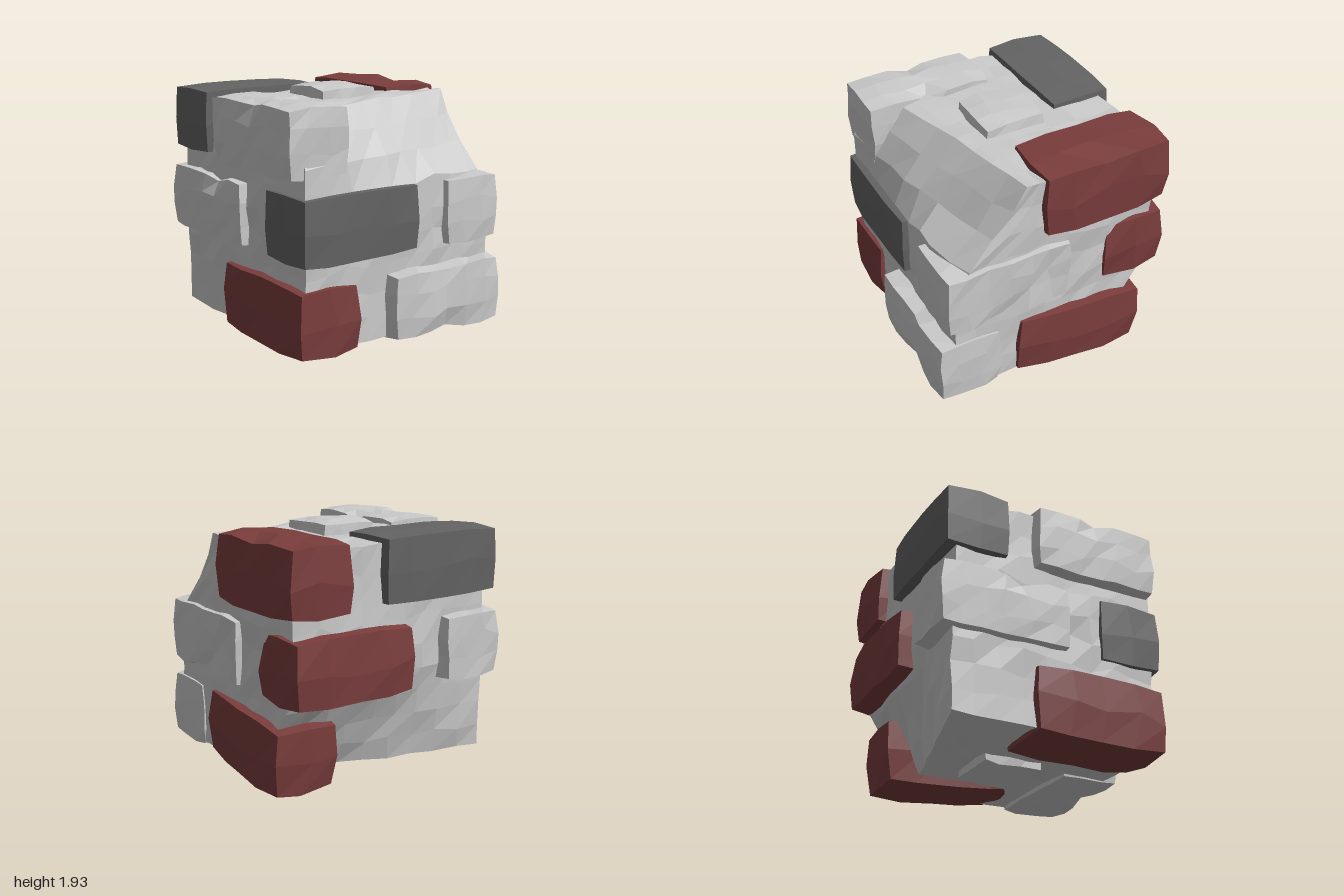
import * as THREE from 'three';

const STONE = 0xcccccc, RED = 0x7b3d3d, DARK = 0x646464;

// Repeatable 0..1 noise from a position, so shared corners move together
function hash(x, y, z, seed) {
  let h = Math.imul(seed + 11, 0x9e3779b1);
  for (const c of [x, y, z]) {
    h = Math.imul(h ^ (Math.round(c * 1000) + 5000), 0x85ebca6b);
    h ^= h >>> 13;
    h = Math.imul(h, 0xc2b2ae35);
    h ^= h >>> 16;
  }
  return (h >>> 0) / 4294967296;
}

function makeMesh(name, geometry, color) {
  const material = new THREE.MeshStandardMaterial({ color, flatShading: true });
  const mesh = new THREE.Mesh(geometry, material);
  mesh.name = name;
  return mesh;
}

// Segmented box whose vertices are moved by rule(vector)
function shapedBox(size, step, rule) {
  const seg = size.map((s) => Math.max(2, Math.round(s / step)));
  const geometry = new THREE.BoxGeometry(...size, ...seg);
  const p = geometry.attributes.position;
  const v = new THREE.Vector3();
  for (let i = 0; i < p.count; i++) {
    v.fromBufferAttribute(p, i);
    rule(v);
    p.setXYZ(i, v.x, v.y, v.z);
  }
  geometry.computeVertexNormals();
  return geometry;
}

// Hewn brick from x, y, z ranges: worn edges, uneven faces, optional chips
function brick({ name, x, y, z, color = STONE, tilt = 0, yaw = 0, chips = [] }, seed) {
  const ranges = [x, y, z];
  const size = ranges.map(([a, b]) => b - a);
  const mid = ranges.map(([a, b]) => (a + b) / 2);
  const rough = color === STONE ? 0.02 : color === RED ? 0.016 : 0.008;
  const edgeWear = color === RED ? 0.014 : 0.008;
  const step = color === STONE ? 0.18 : 0.27;
  const axes = ['x', 'y', 'z'];
  const geometry = shapedBox(size, step, (v) => {
    const o = v.clone();
    const onFace = axes.map((k, i) => Math.abs(Math.abs(o[k]) - size[i] / 2) < 1e-4);
    const count = onFace.filter(Boolean).length;
    axes.forEach((k, i) => {
      const n = hash(o.x, o.y, o.z, seed + i * 50);
      if (onFace[i]) {
        v[k] -= Math.sign(o[k]) * ([0, 0, edgeWear, edgeWear * 2.5][count] + n * rough);
      } else {
        v[k] += (n - 0.5) * step * 0.4;
      }
    });
    for (const [cx, cy, cz, radius, depth] of chips) {
      const d = Math.hypot(o.x + mid[0] - cx, o.y + mid[1] - cy, o.z + mid[2] - cz);
      if (d < radius) v.multiplyScalar(1 - depth * (1 - d / radius));
    }
  });
  const mesh = makeMesh(name, geometry, color);
  mesh.position.set(...mid);
  mesh.rotation.set(tilt, yaw, 0);
  return mesh;
}

// Boulder-like core with a scooped upper front and a cut lower back corner
function core() {
  const { clamp, lerp } = THREE.MathUtils;
  const half = 0.88;
  const geometry = shapedBox([1.8, 1.78, half * 2], 0.2, (v) => {
    const o = v.clone();
    const across = clamp((o.x + 0.9) / 1.8, 0, 1);
    const height = o.y + 0.98;
    let calm = 1;
    if (o.z > 0) {
      const start = lerp(1.42, 1.22, across);
      const t = clamp((height - start) / (1.87 - start), 0, 1);
      const topZ = lerp(0.66, 0.26, across);
      v.z *= lerp(0.865, topZ, Math.pow(t, lerp(1.4, 0.62, across))) / half;
      if (t > 0) calm = 0.35;
    } else {
      const t = 1 - clamp((height - 0.09) / 0.66, 0, 1);
      v.z *= 1 - 0.52 * across * Math.pow(t, 0.65);
      if (t > 0) calm = 0.5;
    }
    // Uneven hewn surface, calmer on the cut slopes
    const onX = Math.abs(o.x) > 0.895, onY = Math.abs(o.y) > 0.885, onZ = Math.abs(o.z) > half - 0.005;
    const n = (s) => hash(o.x, o.y, o.z, s);
    v.x += onX ? -Math.sign(o.x) * n(1) * 0.03 : (n(1) - 0.5) * 0.08 * calm;
    v.y += onY ? -Math.sign(o.y) * n(2) * 0.025 : (n(2) - 0.5) * 0.08 * calm;
    v.z += onZ ? -Math.sign(o.z) * n(3) * 0.03 : (n(3) - 0.5) * 0.06 * calm;
  });
  const mesh = makeMesh('core', geometry, STONE);
  mesh.position.set(0.015, 0.98, 0);
  return mesh;
}

export function createModel() {
  const group = new THREE.Group();
  group.name = 'brickCube';
  group.add(core());

  const bricks = [
    // Upper course
    { name: 'upperFrontBrick', x: [-1, -0.46], y: [1.37, 1.92], z: [-0.22, 0.85],
      chips: [[-0.46, 1.92, 0.32, 0.2, 0.2], [-0.99, 1.92, 0.3, 0.2, 0.15]] },
    { name: 'upperBackBrick', x: [-0.94, 0.14], y: [1.4, 1.92], z: [-0.96, -0.42], color: DARK },
    { name: 'upperSideBrick', x: [0.42, 0.99], y: [1.36, 1.93], z: [-0.97, 0.14], color: RED,
      chips: [[0.99, 1.92, -0.42, 0.25, 0.12]] },
    // Middle course
    { name: 'middleFrontBrick', x: [-0.92, 0.15], y: [0.74, 1.275], z: [0.36, 0.915], color: DARK },
    { name: 'middleSideBrick', x: [0.41, 0.955], y: [0.72, 1.27], z: [-0.14, 0.93],
      chips: [[0.95, 1.0, 0.08, 0.22, 0.16], [0.95, 0.72, 0.45, 0.2, 0.2]] },
    { name: 'middleBackBrick', x: [-0.14, 0.96], y: [0.71, 1.27], z: [-0.995, -0.42], color: RED,
      chips: [[0.96, 1.27, -0.42, 0.2, 0.07]] },
    { name: 'middleCornerBrick', x: [-0.96, -0.42], y: [0.73, 1.27], z: [-1, 0.09],
      chips: [[-0.95, 1.27, -0.3, 0.2, 0.2]] },
    // Lower course
    { name: 'lowerFrontBrick', x: [-0.14, 0.94], y: [0.06, 0.61], z: [0.45, 1],
      chips: [[0.35, 0.6, 1, 0.25, 0.15], [0.35, 0.07, 1, 0.2, 0.15]] },
    { name: 'lowerSideBrick', x: [0.43, 0.995], y: [0.035, 0.6], z: [-0.8, 0.33], color: RED, tilt: -0.07, yaw: -0.035 },
    { name: 'lowerCornerBrick', x: [-0.96, -0.38], y: [0.04, 0.61], z: [-0.23, 0.915], color: RED },
    // Small stones set in the top and bottom
    { name: 'topStone', x: [-0.27, 0.26], y: [1.6, 1.955], z: [-0.31, 0.23],
      chips: [[0.26, 1.96, 0.0, 0.2, 0.15]] },
    { name: 'bottomStone', x: [-0.27, 0.26], y: [0.02, 0.4], z: [-0.31, 0.23] },
  ];
  bricks.forEach((b, i) => group.add(brick(b, i + 1)));
  return group;
}
